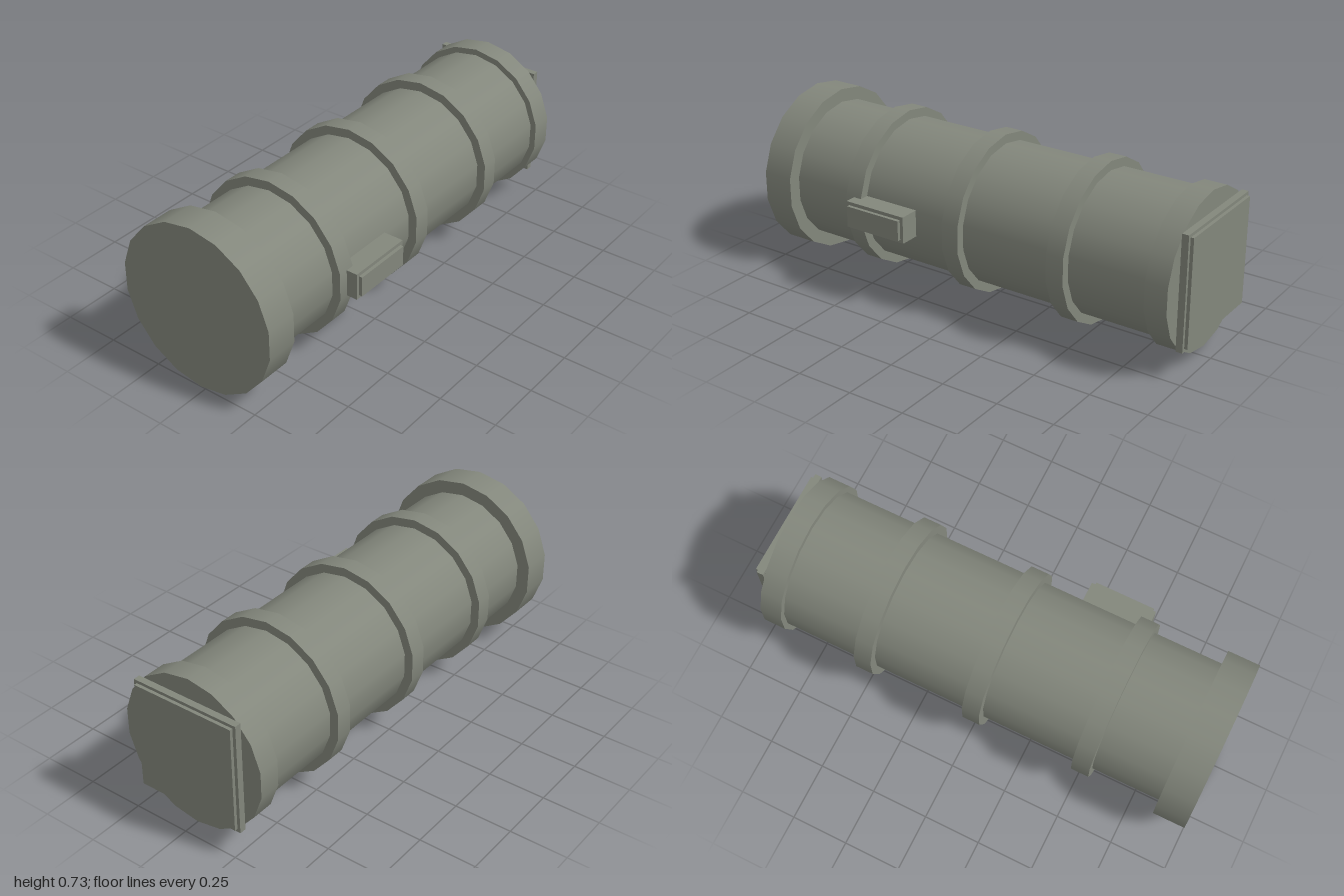
import * as THREE from 'three';

export function createModel() {
  const group = new THREE.Group();
  const material = new THREE.MeshStandardMaterial({ color: 0x83877c });
  const axisX = -0.023, axisY = 0.367;

  // Eighteen-sided drum along z, from zBack to zFront
  function drum(name, radius, zBack, zFront) {
    const geometry = new THREE.CylinderGeometry(radius, radius, zFront - zBack, 18);
    geometry.rotateX(Math.PI / 2);
    const mesh = new THREE.Mesh(geometry, material);
    mesh.position.set(axisX, axisY, (zBack + zFront) / 2);
    mesh.name = name;
    group.add(mesh);
  }

  // Box given by its lower and upper corners
  function block(name, min, max) {
    const size = max.map((v, i) => v - min[i]);
    const mesh = new THREE.Mesh(new THREE.BoxGeometry(...size), material);
    mesh.position.set(...max.map((v, i) => (v + min[i]) / 2));
    mesh.name = name;
    group.add(mesh);
  }

  // Main tube and its end caps
  drum('body', 0.308, -0.87, 0.87);
  drum('frontCap', 0.366, 0.861, 1);
  drum('backCap', 0.335, -0.955, -0.858);

  // Raised bands around the tube
  [-0.47, 0.028, 0.524].forEach((z, i) => drum('band' + (i + 1), 0.347, z - 0.039, z + 0.039));

  // Square plate on the back, with a stepped edge
  block('backPlate', [-0.27, 0.122, -0.986], [0.222, 0.616, -0.957]);
  block('backPlateFace', [-0.256, 0.136, -1], [0.208, 0.603, -0.95]);

  // Small stepped box on the left side
  block('sideBox', [0.25, 0.309, 0.228], [0.367, 0.426, 0.522]);
  block('sideBoxFace', [0.25, 0.323, 0.243], [0.382, 0.411, 0.508]);

  return group;
}
